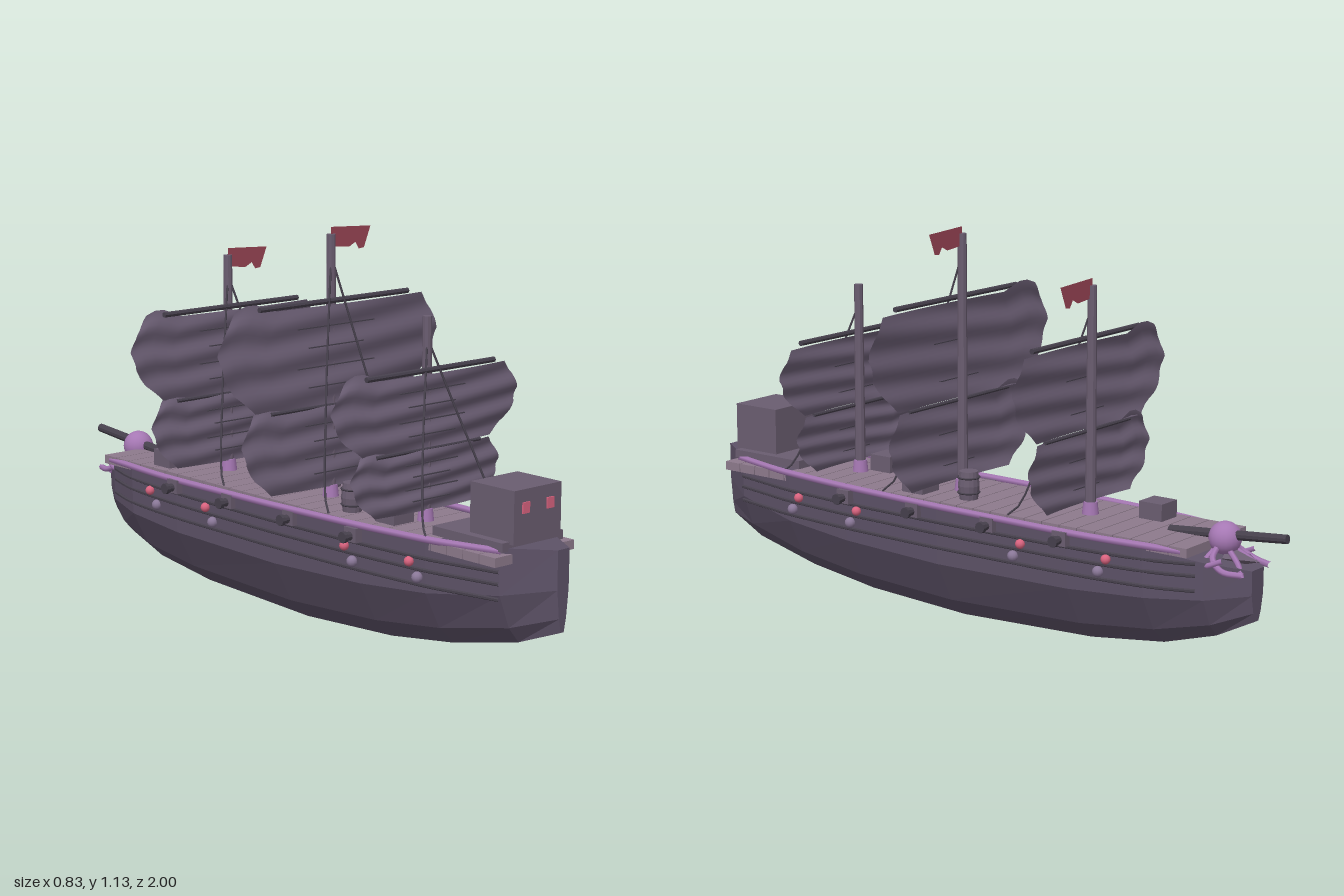
import * as THREE from 'three';

const V = (x, y, z) => new THREE.Vector3(x, y, z);
const mat = (color, extra = {}) => new THREE.MeshStandardMaterial({ color, flatShading: true, ...extra });

export function createModel() {
  const model = new THREE.Group();
  const hullMat = mat(0x5d5267, { side: THREE.DoubleSide });
  const deckMat = mat(0x8d7a8c), woodMat = mat(0x6a5d70), darkMat = mat(0x46404c);
  const sailMat = mat(0x6d6076, { side: THREE.DoubleSide, flatShading: false });
  const flagMat = mat(0x9c4656, { side: THREE.DoubleSide });
  const violetMat = mat(0xa678b4, { flatShading: false }), pinkMat = mat(0xd9637f, { flatShading: false });
  const paleMat = mat(0x8a7898, { flatShading: false });

  const add = (name, geo, material, x = 0, y = 0, z = 0, parent = model) => {
    const m = new THREE.Mesh(geo, material);
    m.name = name;
    m.position.set(x, y, z);
    parent.add(m);
    return m;
  };
  const box = (name, w, h, d, material, x, y, z) => add(name, new THREE.BoxGeometry(w, h, d), material, x, y, z);
  const tube = (name, pts, r, material, n = 16) =>
    add(name, new THREE.TubeGeometry(new THREE.CatmullRomCurve3(pts), n, r, 6), material);

  // Hull stations: z, half width, top, bottom
  const stations = [
    [1, 0.022, 0.375, 0.15], [0.87, 0.105, 0.37, 0.1], [0.64, 0.153, 0.355, 0.05],
    [0.4, 0.172, 0.35, 0.018], [0.05, 0.181, 0.345, 0], [-0.4, 0.174, 0.34, 0.016],
    [-0.64, 0.153, 0.335, 0.045], [-0.8, 0.1, 0.31, 0.09], [-0.91, 0.03, 0.29, 0.145],
  ];
  const at = (z, k) => {
    const i = Math.max(1, stations.findIndex(s => s[0] <= z));
    const a = stations[i - 1], b = stations[i];
    return THREE.MathUtils.lerp(a[k], b[k], (a[0] - z) / (a[0] - b[0]));
  };
  const half = [[1, 1], [0.97, 0.52], [0.62, 0.17], [0.26, 0]]; // width and height fractions
  const ring = [...half, ...half.slice().reverse().map(([x, y]) => [-x, y])];
  const pos = [], idx = [], n = ring.length;
  for (const [z, w, t, b] of stations) for (const [fx, fy] of ring) pos.push(fx * w, b + fy * (t - b), z);
  for (let i = 0; i < stations.length - 1; i++) {
    for (let j = 0; j < n; j++) {
      const a = i * n + j, b = i * n + (j + 1) % n;
      idx.push(a, a + n, b, b, a + n, b + n);
    }
  }
  const last = (stations.length - 1) * n;
  for (let j = 1; j < n - 1; j++) idx.push(0, j, j + 1, last, last + j + 1, last + j);
  const hullGeo = new THREE.BufferGeometry();
  hullGeo.setAttribute('position', new THREE.Float32BufferAttribute(pos, 3));
  hullGeo.setIndex(idx);
  const flatHull = hullGeo.toNonIndexed();
  flatHull.computeVertexNormals();
  add('hull', flatHull, hullMat);

  // Deck laid in cross planks
  const planks = 28, pitch = 1.68 / planks;
  for (let i = 0; i < planks; i++)
    box('deckPlank', 0.3, 0.026, pitch - 0.003, deckMat, 0, 0.343, -0.78 + pitch * (i + 0.5));
  box('foredeck', 0.23, 0.025, 0.26, woodMat, 0, 0.375, 0.76);

  // Cabin with two lit windows
  box('cabin', 0.178, 0.145, 0.16, woodMat, 0, 0.453, 0.825);
  for (const s of [-1, 1]) box('cabinWindow', 0.026, 0.03, 0.008, pinkMat, s * 0.046, 0.476, 0.905);

  // Wales, rails, guns and lanterns on both sides
  for (const s of [-1, 1]) {
    for (const y of [0.23, 0.272, 0.305]) {
      const pts = [];
      for (let z = 0.87; z > -0.79; z -= 0.11) pts.push(V(s * (at(z, 1) * 0.99 + 0.001), y, z));
      tube('wale', pts, 0.0055, darkMat, 40);
    }
    const rail = [];
    for (let z = 0.88; z > -0.79; z -= 0.11)
      rail.push(V(s * Math.max(at(z, 1) + 0.006, z < 0 ? 0.14 : 0), 0.352 + 0.012 * z, z));
    tube('rail', rail, 0.01, violetMat, 40);
    for (const z of [0.39, 0.13, -0.14, -0.39]) {
      const barrel = add('cannonBarrel', new THREE.CylinderGeometry(0.011, 0.015, 0.08, 10), darkMat, s * 0.182, 0.327, z);
      barrel.rotation.z = -s * Math.PI / 2;
      const muzzle = add('cannonMuzzle', new THREE.CylinderGeometry(0.016, 0.016, 0.012, 10), darkMat, s * 0.218, 0.327, z);
      muzzle.rotation.z = Math.PI / 2;
      box('cannonMount', 0.03, 0.04, 0.045, woodMat, s * 0.18, 0.33, z);
    }
    for (const z of [0.59, 0.35, -0.25, -0.53]) {
      add('upperLantern', new THREE.SphereGeometry(0.014, 12, 8), pinkMat, s * (at(z, 1) + 0.006), 0.29, z);
      add('lowerLantern', new THREE.SphereGeometry(0.016, 12, 8), paleMat, s * (at(z, 1) + 0.002), 0.25, z + 0.028);
    }
  }

  // Sail: a plane reshaped to a bulging outline with shallow ripples
  const outline = [0.84, 0.95, 1, 0.96, 0.86, 0.68];
  const sail = (name, w, top, bottom, z0) => {
    const g = new THREE.PlaneGeometry(2, 1, 20, 20), p = g.attributes.position;
    for (let i = 0; i < p.count; i++) {
      const u = p.getX(i), v = 0.5 - p.getY(i);
      const k = Math.min(4, Math.floor(v * 5));
      const f = THREE.MathUtils.lerp(outline[k], outline[k + 1], v * 5 - k);
      const peak = 0.03 * Math.max(0, 1 - Math.abs(u + 0.85) / 0.25) * (1 - v);
      const y = THREE.MathUtils.lerp(top, bottom, v) + peak;
      p.setXYZ(i, u * f * w, y, z0 + 0.012 - 0.016 * u * u + 0.005 * Math.sin(v * 18 + u * 2));
    }
    g.computeVertexNormals();
    add(name, g, sailMat);
    for (let i = 1; i < 5; i++)
      box('sailBatten', w * (0.5 + 0.2 * (i % 2)), 0.003, 0.004, darkMat, 0, THREE.MathUtils.lerp(top, bottom, i / 5), z0 + 0.017);
  };

  // Masts: z, height, yard height, yard half length, upper sail width, lower sail width, flag
  const masts = [
    [0.485, 0.925, 0.78, 0.24, 0.35, 0.28, false],
    [0.095, 1.11, 0.925, 0.28, 0.413, 0.33, true],
    [-0.36, 1.005, 0.855, 0.255, 0.362, 0.29, true],
  ];
  for (const [z, h, yardY, yardHalf, upper, lower, flag] of masts) {
    add('mast', new THREE.CylinderGeometry(0.013, 0.016, h - 0.35, 10), woodMat, 0, (h + 0.35) / 2, z);
    add('mastCollar', new THREE.CylinderGeometry(0.02, 0.024, 0.035, 12), violetMat, 0, 0.375, z);
    const split = 0.39 + (yardY - 0.39) * 0.45;
    add('yard', new THREE.CylinderGeometry(0.008, 0.008, yardHalf * 2, 8), darkMat, 0, yardY, z + 0.018).rotation.z = Math.PI / 2;
    add('lowerYard', new THREE.CylinderGeometry(0.006, 0.006, lower * 1.4, 8), darkMat, 0, split - 0.005, z + 0.01).rotation.z = Math.PI / 2;
    sail('upperSail', upper, yardY - 0.012, split, z + 0.006);
    sail('lowerSail', lower, split - 0.005, 0.39, z + 0.006);
    for (const s of [-1, 1]) {
      tube('stay', [V(0, h - 0.06, z), V(s * 0.085, 0.35 + (h - 0.41) * 0.46, z + 0.075),
        V(s * 0.145, 0.39, z + 0.14), V(s * 0.16, 0.36, z + 0.17)], 0.0032, darkMat);
    }
    if (flag) {
      // Pennant with a notched lower edge
      const shape = new THREE.Shape();
      [[0, 0.02], [0.15, 0.012], [0.125, -0.048], [0.105, -0.05], [0.092, -0.03], [0.068, -0.042], [0, -0.035]]
        .forEach(([x, y], i) => (i ? shape.lineTo(x, y) : shape.moveTo(x, y)));
      add('flag', new THREE.ShapeGeometry(shape), flagMat, 0, h, z);
    }
  }

  // Deck cargo
  for (const [x, z] of [[-0.085, 0.28], [0.08, 0.01]]) {
    const profile = [[0, 0], [0.027, 0], [0.032, 0.04], [0.027, 0.082], [0, 0.082]].map(([r, y]) => new THREE.Vector2(r, y));
    add('barrel', new THREE.LatheGeometry(profile, 14), woodMat, x, 0.36, z);
    for (const y of [0.38, 0.424]) add('barrelHoop', new THREE.TorusGeometry(0.031, 0.003, 5, 16), darkMat, x, y, z).rotation.x = Math.PI / 2;
  }
  for (const [x, z] of [[-0.07, 0.435], [0.078, 0.19], [-0.085, -0.53]]) box('crate', 0.076, 0.05, 0.076, woodMat, x, 0.38, z);

  // Stern spar, orb and curling tentacles
  const spar = add('sternSpar', new THREE.CylinderGeometry(0.013, 0.015, 0.372, 10), darkMat, 0, 0.37, -0.814);
  spar.rotation.x = -Math.PI / 2 + 0.09;
  add('orb', new THREE.SphereGeometry(0.046, 20, 14), violetMat, 0, 0.36, -0.805);
  add('sternSpike', new THREE.ConeGeometry(0.03, 0.1, 4), woodMat, 0, 0.31, -0.865).rotation.x = -Math.PI / 2;
  for (const s of [-1, 1]) {
    tube('tentacle', [V(s * 0.025, 0.345, -0.8), V(s * 0.07, 0.315, -0.81), V(s * 0.085, 0.29, -0.85), V(s * 0.07, 0.285, -0.905)], 0.009, violetMat);
    tube('tentacle', [V(s * 0.02, 0.335, -0.79), V(s * 0.06, 0.305, -0.78), V(s * 0.09, 0.3, -0.8), V(s * 0.085, 0.32, -0.85)], 0.008, violetMat);
    tube('tentacle', [V(s * 0.015, 0.33, -0.83), V(s * 0.035, 0.3, -0.87), V(s * 0.05, 0.27, -0.89)], 0.008, violetMat);
  }
  return model;
}
